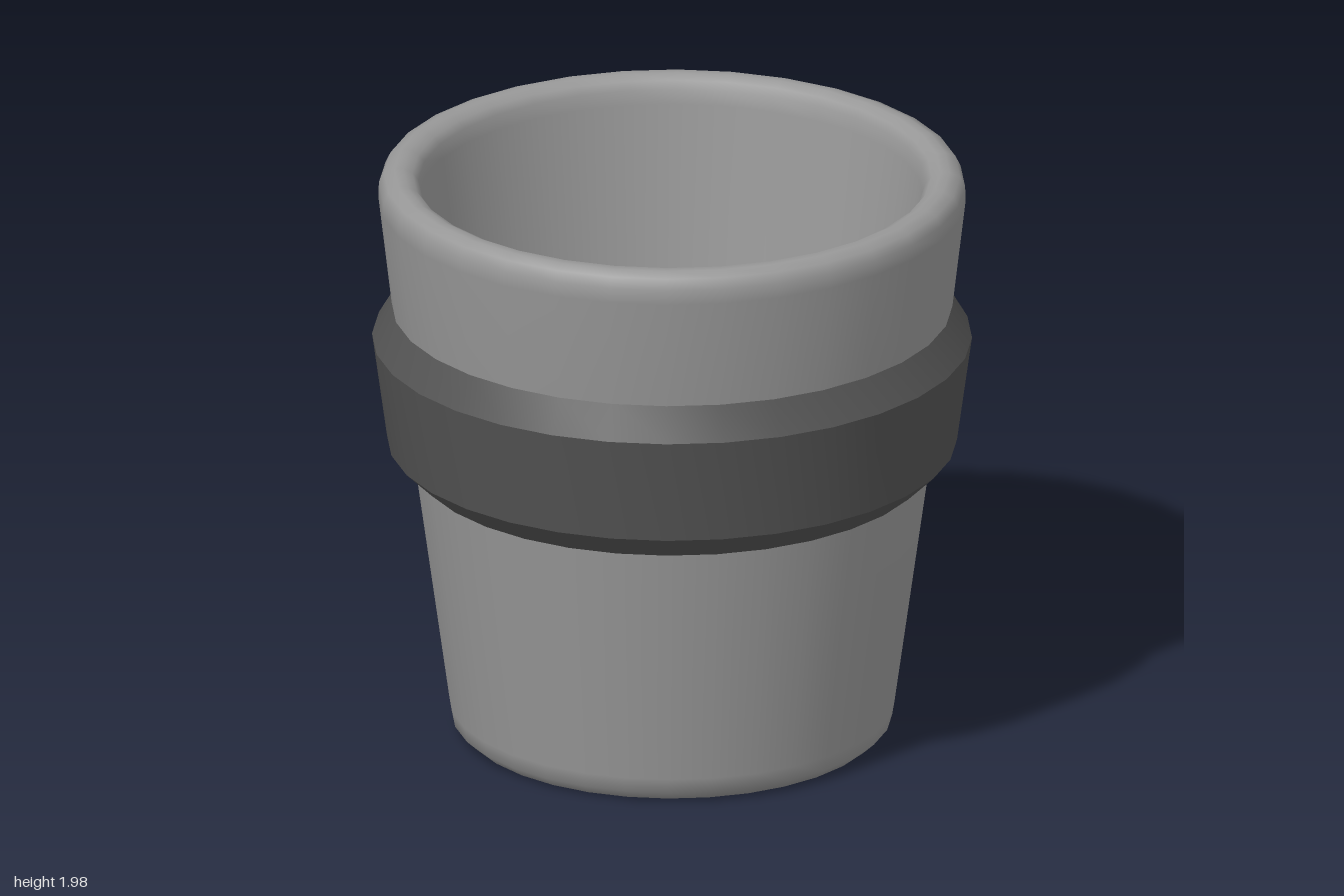
import * as THREE from 'three';
import { toCreasedNormals } from 'three/addons/utils/BufferGeometryUtils.js';

const SIDES = 32;

// Revolve a list of [radius, height] pairs around the y axis
function revolve(name, profile, color) {
  const points = profile.map(([r, y]) => new THREE.Vector2(r, y));
  const geometry = new THREE.LatheGeometry(points, SIDES);
  const mesh = new THREE.Mesh(geometry, new THREE.MeshStandardMaterial({ color }));
  mesh.name = name;
  return mesh;
}

export function createModel() {
  const group = new THREE.Group();
  group.name = 'cup';

  // Cup wall: underside, tapered outside, rounded rim, inside and floor
  const body = revolve('cupBody', [
    [0, 0], [0.695, 0.004], [0.734, 0.04], [0.742, 0.09],
    [0.86, 0.945], [0.935, 1.505], [0.979, 1.88],
    [0.977, 1.93], [0.96, 1.965], [0.925, 1.98],
    [0.895, 1.98], [0.865, 1.965], [0.845, 1.94], [0.838, 1.89],
    [0.59, 0.2], [0.575, 0.145], [0.525, 0.13], [0, 0.13],
  ], 0x989898);
  group.add(body);

  // Dark grip band with bevelled upper and lower edges
  const band = revolve('gripBand', [
    [0.857, 0.935], [0.95, 1.025], [1, 1.39], [0.932, 1.505],
  ], 0x535353);
  band.geometry = toCreasedNormals(band.geometry, 0.45);
  group.add(band);

  return group;
}
